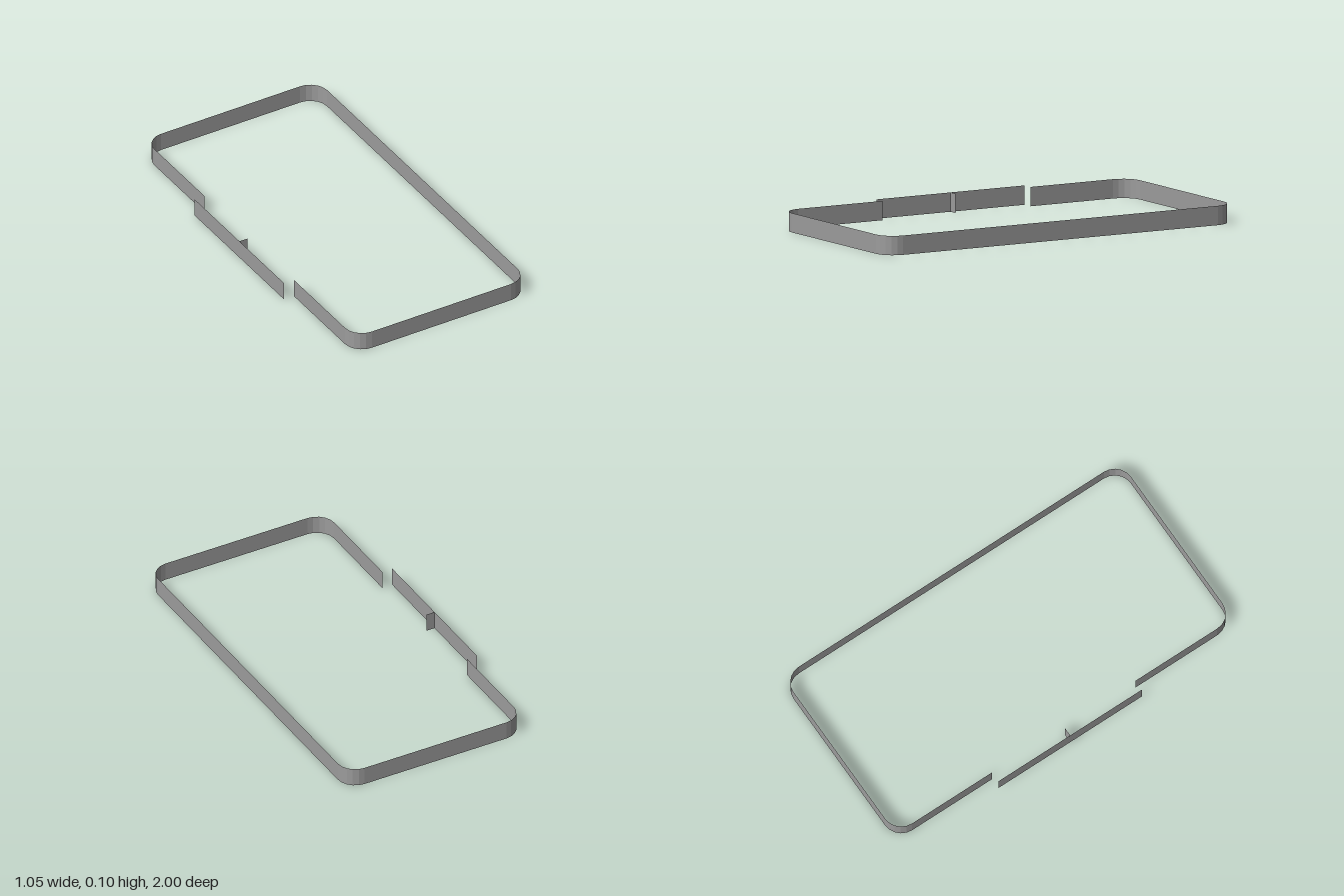
import * as THREE from 'three';

const HEIGHT = 0.096;
const LEFT = 0.522, RIGHT = -0.467, OUTER = -0.523; // x of the long walls
const END = 1, RADIUS = 0.096, STEPS = 5;
const GAP_FRONT = 0.42, GAP_BACK = -0.43; // z ends of the offset wall section

const material = new THREE.MeshStandardMaterial({
  color: 0x9c9c9c, flatShading: true, side: THREE.DoubleSide,
});

// Thin upright wall following a path of [x, z] points
function wall(name, path) {
  const positions = [], index = [];
  path.forEach(([x, z], i) => {
    positions.push(x, 0, z, x, HEIGHT, z);
    if (i === 0) return;
    const a = 2 * (i - 1);
    index.push(a, a + 2, a + 3, a, a + 3, a + 1);
  });
  const geometry = new THREE.BufferGeometry();
  geometry.setAttribute('position', new THREE.Float32BufferAttribute(positions, 3));
  geometry.setIndex(index);
  geometry.computeVertexNormals();
  const mesh = new THREE.Mesh(geometry, material);
  mesh.name = name;
  return mesh;
}

// Quarter-round corner points about (cx, cz), starting at angle start
function corner(cx, cz, start) {
  return Array.from({ length: STEPS + 1 }, (_, i) => {
    const t = start + (i / STEPS) * Math.PI / 2;
    return [cx + RADIUS * Math.cos(t), cz + RADIUS * Math.sin(t)];
  });
}

export function createModel() {
  const group = new THREE.Group();
  group.name = 'frame';
  const xl = LEFT - RADIUS, xr = RIGHT + RADIUS, z = END - RADIUS;

  // Rounded perimeter, open along the middle of the right side
  group.add(wall('perimeterWall', [
    [RIGHT, GAP_BACK],
    ...corner(xr, -z, Math.PI),
    ...corner(xl, -z, 1.5 * Math.PI),
    ...corner(xl, z, 0),
    ...corner(xr, z, 0.5 * Math.PI),
    [RIGHT, GAP_FRONT],
  ]));

  // Wall section set outward across the opening
  group.add(wall('offsetWall', [[OUTER, GAP_FRONT], [OUTER, GAP_BACK]]));

  // Short tab pointing inward from its middle
  const middle = (GAP_FRONT + GAP_BACK) / 2;
  group.add(wall('innerTab', [[OUTER, middle], [-0.477, middle]]));

  return group;
}
